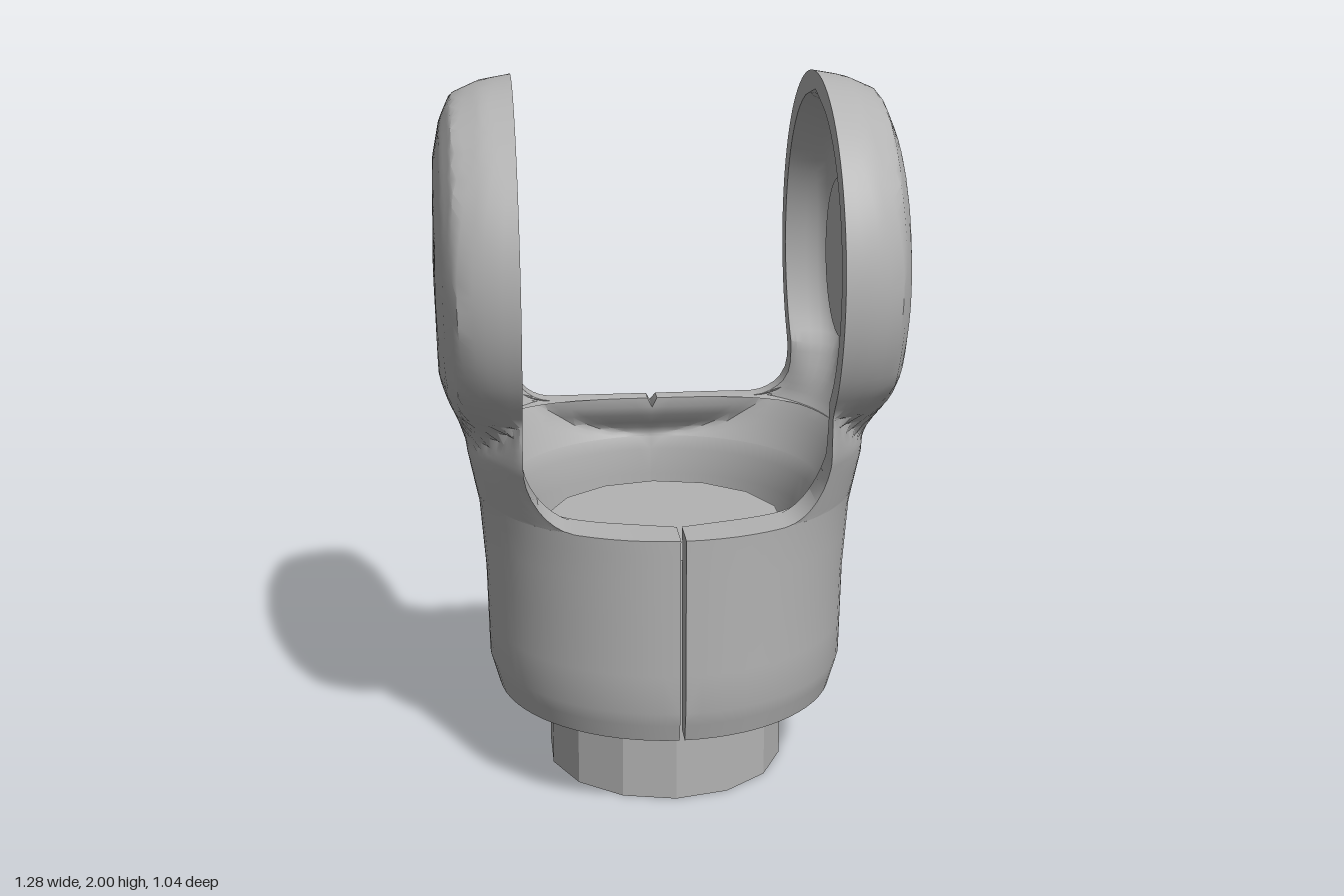
import * as THREE from 'three';
import { toCreasedNormals } from 'three/addons/utils/BufferGeometryUtils.js';

const grey = new THREE.MeshStandardMaterial({ color: 0xb3b3b3 });
grey.name = 'light grey';

const EAR_Y = 1.48, EAR_R = 0.52, RIM_X = 0.415, HALF = 36;

// Piecewise linear lookup in a short table of [key, value]
function look(table, k) {
  if (k <= table[0][0]) return table[0][1];
  for (let i = 1; i < table.length; i++) {
    const [k0, v0] = table[i - 1], [k1, v1] = table[i];
    if (k <= k1) return v0 + (v1 - v0) * (k - k0) / (k1 - k0);
  }
  return table[table.length - 1][1];
}

// Cup radii by height, and domed ear profiles by radius
const cupX = [[0.25, 0.485], [0.34, 0.51], [0.6, 0.515], [0.8, 0.53], [1, 0.57], [1.2, 0.6]];
const cupZ = [[0.25, 0.485], [0.34, 0.51], [0.84, 0.512], [1, 0.56], [1.2, 0.58]];
const wall = [[0.25, 0.05], [0.4, 0.1], [0.8, 0.1], [1, 0.06]];
const earOuter = [[0, 0.64], [0.3, 0.632], [0.4, 0.612], [0.47, 0.58], [0.505, 0.5], [0.52, RIM_X]];
const earInner = [[0, 0.555], [0.36, 0.55], [0.41, 0.52], [0.46, RIM_X]];
// Depth limits of the cup and neck, front and back
const frontOuter = [[0.84, 0.52], [0.8401, 0.46], [0.87, 0.42], [0.92, 0.395], [1, 0.385]];
const backOuter = [[0.88, 0.52], [0.98, 0.41], [1.05, 0.385]];
const frontInner = [[0.8, 0.42], [0.84, 0.4], [0.8401, 0.38], [0.92, 0.335]];
const backInner = [[0.86, 0.42], [0.94, 0.357], [0.98, 0.355], [1.05, 0.33]];

// Where the wall ends in x: a flat rim, then a fillet up to the ear plane
function edgeX(y, rimY, rimX, height, low) {
  if (y <= rimY) return low;
  const t = Math.min(1, (y - rimY) / height);
  return rimX + (RIM_X - rimX) * Math.sqrt(1 - (1 - t) ** 2);
}

// Point on the outer or inner skin; p runs from 1 (front) to -1 (back)
function skin(y, p, inner) {
  const front = p > 0;
  const inset = inner ? look(wall, y) : 0;
  const rx = look(cupX, y) - inset, rz = look(cupZ, y) - inset;
  const edge = front ? edgeX(y, 0.84, 0.28, 0.17, 0.007) : edgeX(y, 0.98, 0.3, 0.14, 0);
  const a = p * Math.acos(Math.min(1, edge / rx));
  const limit = look(inner ? (front ? frontInner : backInner) : (front ? frontOuter : backOuter), y);
  const cx = rx * Math.cos(a);
  const cz = Math.max(-limit, Math.min(limit, rz * Math.sin(a)));

  const dy = y - EAR_Y, r = inner ? 0.46 : EAR_R;
  let w = Math.sqrt(Math.max(0, r * r - dy * dy));
  if (dy < 0) w = Math.max(w, inner ? 0.325 : 0.385);
  const ez = w * Math.sin(p * Math.PI / 2);
  const rad = inner && dy < 0 ? Math.abs(ez) / w * r : Math.hypot(ez, dy);
  const ex = look(inner ? earInner : earOuter, rad);

  const t = THREE.MathUtils.smoothstep(y, 0.95, 1.22);
  return [cx + (ex - cx) * t, cz + (ez - cz) * t];
}

// One half of the fork: cup wall, neck and hollow ear, lofted upward
function forkHalf(side) {
  const rows = [0.25, 0.3, 0.34, 0.45, 0.6, 0.72, 0.8, 0.84, 0.8401, 0.845, 0.855, 0.87, 0.89, 0.92,
    0.95, 0.98, 0.9801, 0.985, 0.995, 1.01, 1.03, 1.06, 1.09, 1.12];
  for (let i = 0; i <= 32; i++) {
    const t = THREE.MathUtils.lerp(-0.75, Math.PI / 2, i / 32);
    rows.push(EAR_Y + EAR_R * Math.sin(t));
  }
  rows.sort((m, n) => m - n);
  const n = 2 * (HALF + 1), pos = [], idx = [];
  for (const y of rows) {
    for (let i = 0; i < n; i++) {
      const inner = i > HALF;
      const p = 1 - 2 * (inner ? n - 1 - i : i) / HALF;
      const [x, z] = skin(y, p, inner);
      pos.push(side * x, y, z);
    }
  }
  const quad = (a, b, c, d) => side > 0 ? idx.push(a, b, c, a, c, d) : idx.push(a, c, b, a, d, c);
  for (let j = 0; j < rows.length - 1; j++) {
    for (let i = 0; i < n; i++) {
      const k = (i + 1) % n;
      quad(j * n + i, j * n + k, (j + 1) * n + k, (j + 1) * n + i);
    }
  }
  // Bottom rim
  for (let i = 0; i < HALF; i++) quad(i, n - 1 - i, n - 2 - i, i + 1);
  const g = new THREE.BufferGeometry();
  g.setAttribute('position', new THREE.Float32BufferAttribute(pos, 3));
  g.setIndex(idx);
  return toCreasedNormals(g, 0.6);
}

function add(parent, name, geometry, x = 0, y = 0, z = 0) {
  const m = new THREE.Mesh(geometry, grey);
  m.name = name;
  m.position.set(x, y, z);
  parent.add(m);
  return m;
}

export function createModel() {
  const model = new THREE.Group();
  model.name = 'forkJoint';

  // Central shaft, faceted
  const shaft = toCreasedNormals(new THREE.CylinderGeometry(0.343, 0.343, 0.72, 14), 0.1);
  add(model, 'shaft', shaft, 0, 0.36, 0);

  for (const side of [1, -1]) {
    const half = new THREE.Group();
    half.name = side > 0 ? 'leftFork' : 'rightFork';
    model.add(half);
    add(half, 'forkShell', forkHalf(side));

    // Round bearing boss inside the ear
    const boss = new THREE.CylinderGeometry(0.225, 0.225, 0.07, 32);
    add(half, 'bearingBoss', toCreasedNormals(boss, 0.6), side * 0.53, EAR_Y, 0).rotation.z = Math.PI / 2;

    // Small raised pad on the inside of the neck
    add(half, 'neckPad', new THREE.BoxGeometry(0.03, 0.08, 0.14), side * 0.545, 1.14, 0);
  }
  return model;
}
